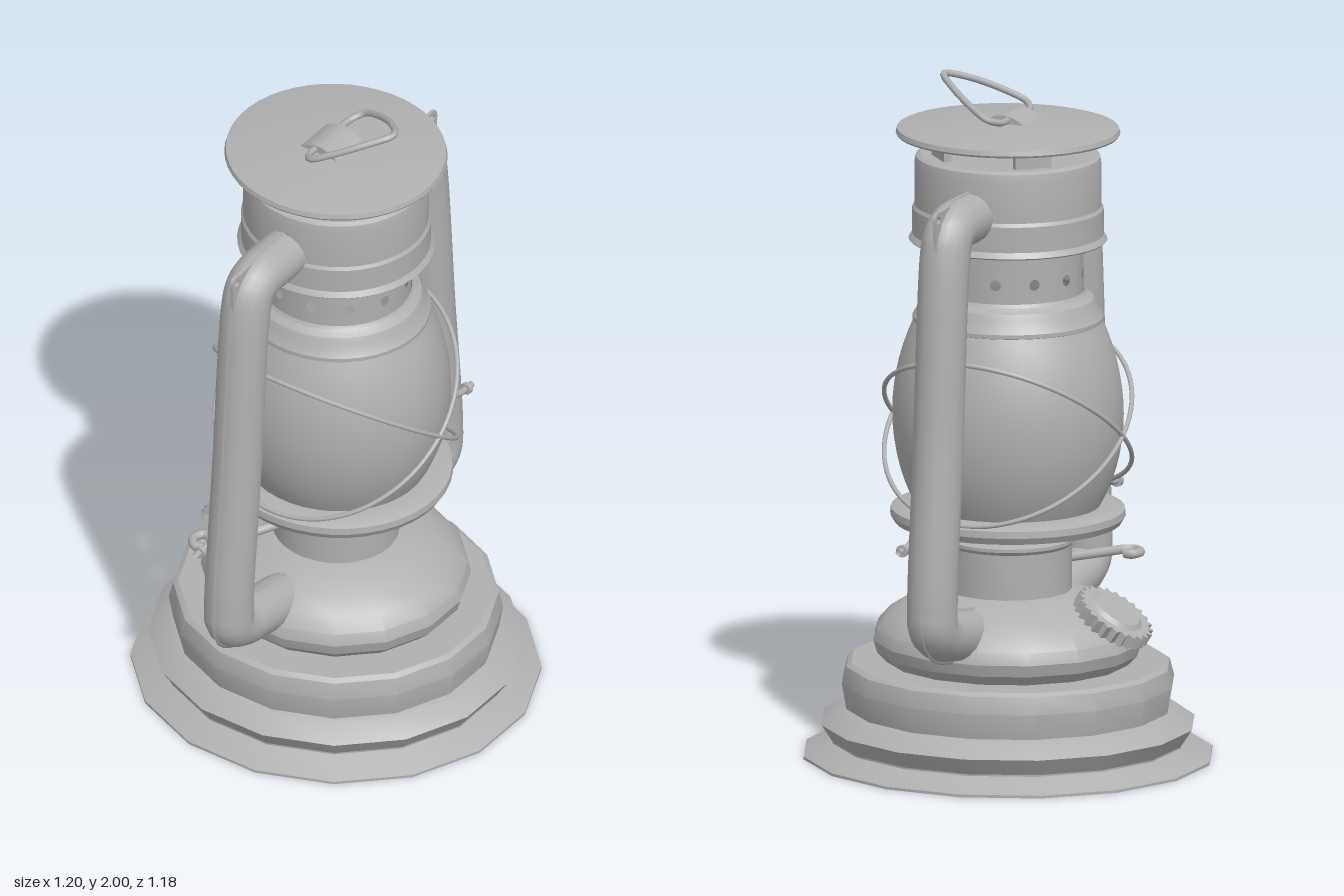
import * as THREE from 'three';
import { toCreasedNormals } from 'three/addons/utils/BufferGeometryUtils.js';

export function createModel() {
  const model = new THREE.Group();
  model.name = 'lantern';
  const grey = new THREE.MeshStandardMaterial({ color: 0xb0b0b0, side: THREE.DoubleSide });
  grey.name = 'grey metal';
  const CX = 0.012; // axis of the turned parts
  const SX = 0.96;  // turned parts are slightly narrower across x

  function add(name, geometry, parent = model) {
    const mesh = new THREE.Mesh(geometry, grey);
    mesh.name = name;
    parent.add(mesh);
    return mesh;
  }
  function turned(name, profile, sides = 40) {
    const pts = profile.map(([r, y]) => new THREE.Vector2(r, y));
    const geo = new THREE.LatheGeometry(pts, sides, Math.PI / sides);
    const mesh = add(name, toCreasedNormals(geo, 0.5));
    mesh.scale.x = SX;
    mesh.position.x = CX;
    return mesh;
  }
  function wire(name, points, radius, closed = false, steps = 48, parent = model) {
    const curve = new THREE.CatmullRomCurve3(points.map(p => new THREE.Vector3(...p)), closed);
    return add(name, new THREE.TubeGeometry(curve, steps, radius, 8, closed), parent);
  }

  // Stepped sixteen-sided base with the fuel tank dome
  turned('base', [
    [0, 0], [0.6, 0], [0.6, 0.008], [0.515, 0.045], [0.515, 0.05], [0.548, 0.1], [0.49, 0.14],
    [0.475, 0.145], [0.488, 0.22], [0.475, 0.27], [0.46, 0.28], [0.35, 0.28]], 16);
  turned('fuelTank', [
    [0.355, 0.28], [0.385, 0.31], [0.395, 0.345], [0.385, 0.38], [0.35, 0.42], [0.295, 0.455],
    [0.23, 0.48], [0.18, 0.495], [0, 0.5]], 16);

  // Burner, globe plate and glass globe
  turned('burner', [[0.185, 0.48], [0.185, 0.625], [0.193, 0.635], [0.193, 0.645], [0.165, 0.655], [0.16, 0.7]]);
  turned('globePlate', [[0, 0.69], [0.33, 0.69], [0.342, 0.71], [0.34, 0.73], [0.31, 0.742], [0.26, 0.742]]);
  const globe = [];
  for (let i = 0; i <= 14; i++) {
    const y = 0.735 + 0.55 * i / 14;
    globe.push([0.336 - 0.82 * (y - 1.01) ** 2 - (y < 1.01 ? 1.5 : 0) * (y - 1.01) ** 4, y]);
  }
  turned('globe', globe);
  turned('globeCollar', [
    [0.268, 1.28], [0.277, 1.285], [0.277, 1.297], [0.265, 1.315], [0.258, 1.335],
    [0.25, 1.352], [0.228, 1.365], [0.222, 1.375]]);

  // Neck: curved panels, each pierced with one air hole
  const neck = new THREE.Group();
  neck.name = 'neck';
  neck.position.x = CX;
  neck.scale.x = SX;
  model.add(neck);
  const panels = 12, R = 0.22, half = Math.PI / panels;
  for (let k = 0; k < panels; k++) {
    const s = new THREE.Shape();
    s.moveTo(-half * R, 1.37);
    for (let i = 1; i <= 4; i++) s.lineTo((-1 + i / 2) * half * R, 1.37);
    for (let i = 0; i <= 4; i++) s.lineTo((1 - i / 2) * half * R, 1.56);
    const hole = new THREE.Path();
    hole.absarc(0, 1.43, 0.016, 0, Math.PI * 2, true);
    s.holes.push(hole);
    const geo = new THREE.ShapeGeometry(s, 10);
    const p = geo.attributes.position, n = geo.attributes.normal;
    for (let i = 0; i < p.count; i++) {
      const a = p.getX(i) / R + (2 * k + 1) * half;
      p.setXYZ(i, Math.sin(a) * R, p.getY(i), Math.cos(a) * R);
      n.setXYZ(i, Math.sin(a), 0, Math.cos(a));
    }
    add('neckPanel', geo, neck);
  }

  // Crown, its legs and the top cap
  turned('crown', [
    [0.222, 1.56], [0.265, 1.545], [0.285, 1.52], [0.289, 1.524], [0.278, 1.54], [0.278, 1.615],
    [0.272, 1.625], [0.272, 1.745], [0.268, 1.768], [0.255, 1.775], [0, 1.768]]);
  for (let i = 0; i < 4; i++) {
    const a = Math.PI / 4 + i * Math.PI / 2;
    const leg = add('capLeg', new THREE.BoxGeometry(0.11, 0.09, 0.022));
    leg.position.set(CX + Math.sin(a) * 0.2, 1.8, Math.cos(a) * 0.205);
    leg.rotation.y = a;
  }
  turned('cap', [
    [0, 1.842], [0.31, 1.836], [0.322, 1.83], [0.326, 1.836], [0.322, 1.85], [0.24, 1.862],
    [0.12, 1.872], [0, 1.876]], 48);

  // Carrying ring and the clip that holds it
  const clip = new THREE.Shape();
  clip.moveTo(-0.065, 1.865);
  clip.quadraticCurveTo(0.01, 1.93, 0.085, 1.865);
  const clipMesh = add('ringClip', new THREE.ExtrudeGeometry(clip, { depth: 0.125, bevelEnabled: false, curveSegments: 10 }));
  clipMesh.rotation.y = Math.PI / 2;
  clipMesh.position.x = -0.058;
  wire('carryRing', [
    [0.01, 1.886, -0.02], [-0.09, 1.886, -0.022], [-0.122, 1.9, 0.005], [-0.105, 1.93, 0.065], [-0.05, 1.97, 0.15],
    [0.012, 1.99, 0.203], [0.075, 1.97, 0.15], [0.128, 1.93, 0.065], [0.146, 1.9, 0.005], [0.112, 1.886, -0.022]],
    0.01, true, 80);

  // Side tubes, with a thin seam flange and a pierced ear at the top corner
  const sidePath = [
    [0.2, 1.635, 0], [0.3, 1.635, 0], [0.375, 1.632, 0], [0.415, 1.607, 0], [0.434, 1.55, 0], [0.48, 1, 0],
    [0.518, 0.54, 0], [0.513, 0.475, 0], [0.47, 0.443, 0], [0.39, 0.425, 0], [0.25, 0.4, 0]];
  const tubeCurve = new THREE.CatmullRomCurve3(sidePath.map(p => new THREE.Vector3(...p)));
  for (const side of [0, 1]) {
    const frame = new THREE.Group();
    frame.name = side ? 'rightSideTube' : 'leftSideTube';
    frame.rotation.y = side * Math.PI;
    model.add(frame);
    add('tube', new THREE.TubeGeometry(tubeCurve, 90, 0.073, 16), frame);
    add('seamFlange', new THREE.TubeGeometry(tubeCurve, 90, 0.081, 12), frame).scale.z = 0.06;
    const ear = new THREE.Shape();
    ear.moveTo(0.36, 1.7);
    ear.lineTo(0.495, 1.695);
    ear.quadraticCurveTo(0.508, 1.69, 0.507, 1.67);
    ear.lineTo(0.5, 1.54);
    ear.lineTo(0.42, 1.6);
    const hole = new THREE.Path();
    hole.absarc(0.485, 1.673, 0.011, 0, Math.PI * 2, true);
    ear.holes.push(hole);
    add('ear', new THREE.ExtrudeGeometry(ear, { depth: 0.01, bevelEnabled: false }), frame).position.z = -0.005;

    // Globe lifting wire passing beside the tube
    wire('liftWire', [
      [0.27, 0.7, 0.085], [0.32, 0.712, 0.085], [0.37, 0.748, 0.085], [0.42, 0.75, 0.085],
      [0.47, 0.718, 0.085], [0.51, 0.703, 0.085], [0.565, 0.7, 0.085]], 0.01, false, 40, frame);
    const stop = add('liftWireStop', new THREE.CylinderGeometry(0.018, 0.018, 0.014, 12), frame);
    stop.rotation.z = Math.PI / 2;
    stop.position.set(0.54, 0.7, 0.085);
  }

  // Two crossed guard wires around the globe
  for (const tilt of [-1, 1]) {
    const ring = [];
    for (let i = 0; i < 24; i++) {
      const a = i / 24 * Math.PI * 2;
      ring.push([CX + 0.313 * Math.cos(a), 0.975 + tilt * 0.238 * Math.cos(a), 0.366 * Math.sin(a)]);
    }
    wire('guardWire', ring, 0.007, true, 96);
  }

  // Wick lever with its curled end
  wire('wickLever', [
    [-0.12, 0.555, -0.08], [-0.294, 0.55, -0.17], [-0.35, 0.548, -0.198], [-0.362, 0.548, -0.232],
    [-0.335, 0.548, -0.256], [-0.302, 0.548, -0.245], [-0.302, 0.548, -0.222]], 0.014, false, 50);

  // Toothed filler cap leaning on the back of the tank
  const filler = new THREE.Group();
  filler.name = 'fillerCap';
  filler.position.set(CX, 0.435, -0.335);
  filler.rotation.x = -Math.PI / 2 - 0.58;
  model.add(filler);
  const gear = new THREE.Shape();
  for (let i = 0; i < 48; i++) {
    const a = i / 48 * Math.PI * 2, r = i % 2 ? 0.105 : 0.122;
    if (i) gear.lineTo(r * Math.cos(a), r * Math.sin(a));
    else gear.moveTo(r, 0);
  }
  add('capTeeth', new THREE.ExtrudeGeometry(gear, { depth: 0.04, bevelEnabled: false }), filler).position.z = -0.02;
  const face = add('capFace', new THREE.CylinderGeometry(0.07, 0.085, 0.012, 28), filler);
  face.rotation.x = Math.PI / 2;
  face.position.z = 0.025;
  const spout = add('fillerNeck', new THREE.CylinderGeometry(0.085, 0.085, 0.08, 24), filler);
  spout.rotation.x = Math.PI / 2;
  spout.position.z = -0.05;

  return model;
}
